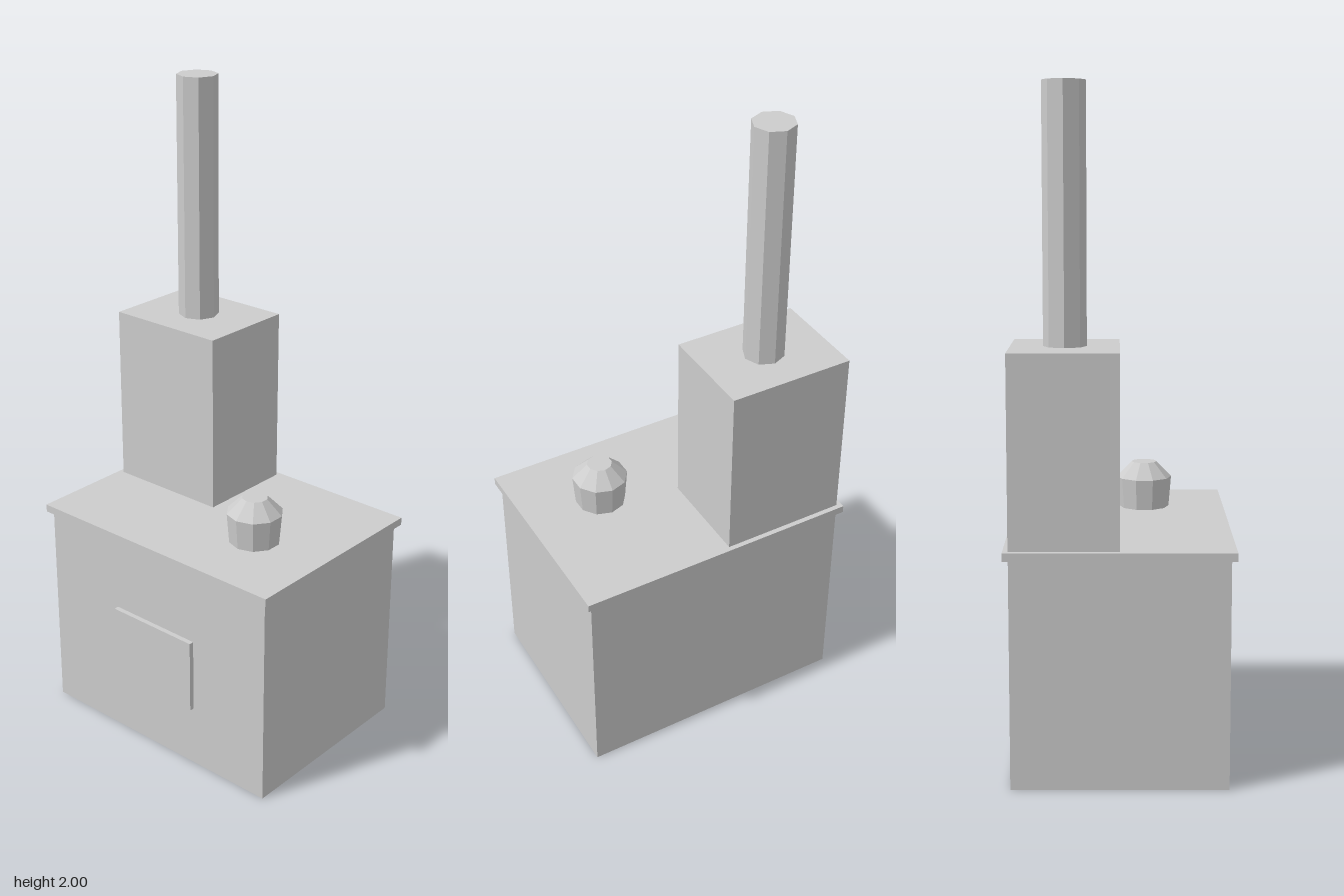
import * as THREE from 'three';

export function createModel() {
  const model = new THREE.Group();
  model.name = 'stove';
  const grey = new THREE.MeshStandardMaterial({ color: 0xcccccc, flatShading: true });
  grey.name = 'plain grey';

  function add(name, geometry, x, y, z) {
    const mesh = new THREE.Mesh(geometry, grey);
    mesh.name = name;
    mesh.position.set(x, y, z);
    model.add(mesh);
    return mesh;
  }
  // Box given by its bottom height and centre
  const box = (name, w, h, d, x, y, z) =>
    add(name, new THREE.BoxGeometry(w, h, d), x, y + h / 2, z);
  // Faceted cylinder standing on a given height
  const cylinder = (name, top, bottom, h, sides, x, y, z) =>
    add(name, new THREE.CylinderGeometry(top, bottom, h, sides), x, y + h / 2, z);

  // Stove body with overhanging cooking plate and oven door
  box('body', 0.863, 0.674, 0.627, 0, 0, 0);
  box('cookingPlate', 0.894, 0.024, 0.659, 0, 0.674, 0);
  box('ovenDoor', 0.314, 0.235, 0.016, 0, 0.198, 0.321);

  // Chimney block in the back corner with its pipe
  box('chimneyBlock', 0.392, 0.557, 0.314, -0.235, 0.698, -0.157);
  cylinder('chimneyPipe', 0.0627, 0.0627, 0.745, 8, -0.235, 1.255, -0.157);

  // Pot with a tapered lid
  cylinder('pot', 0.0863, 0.0784, 0.095, 10, 0.196, 0.698, 0.078);
  cylinder('potLid', 0.0392, 0.0863, 0.048, 10, 0.196, 0.793, 0.078);

  return model;
}
